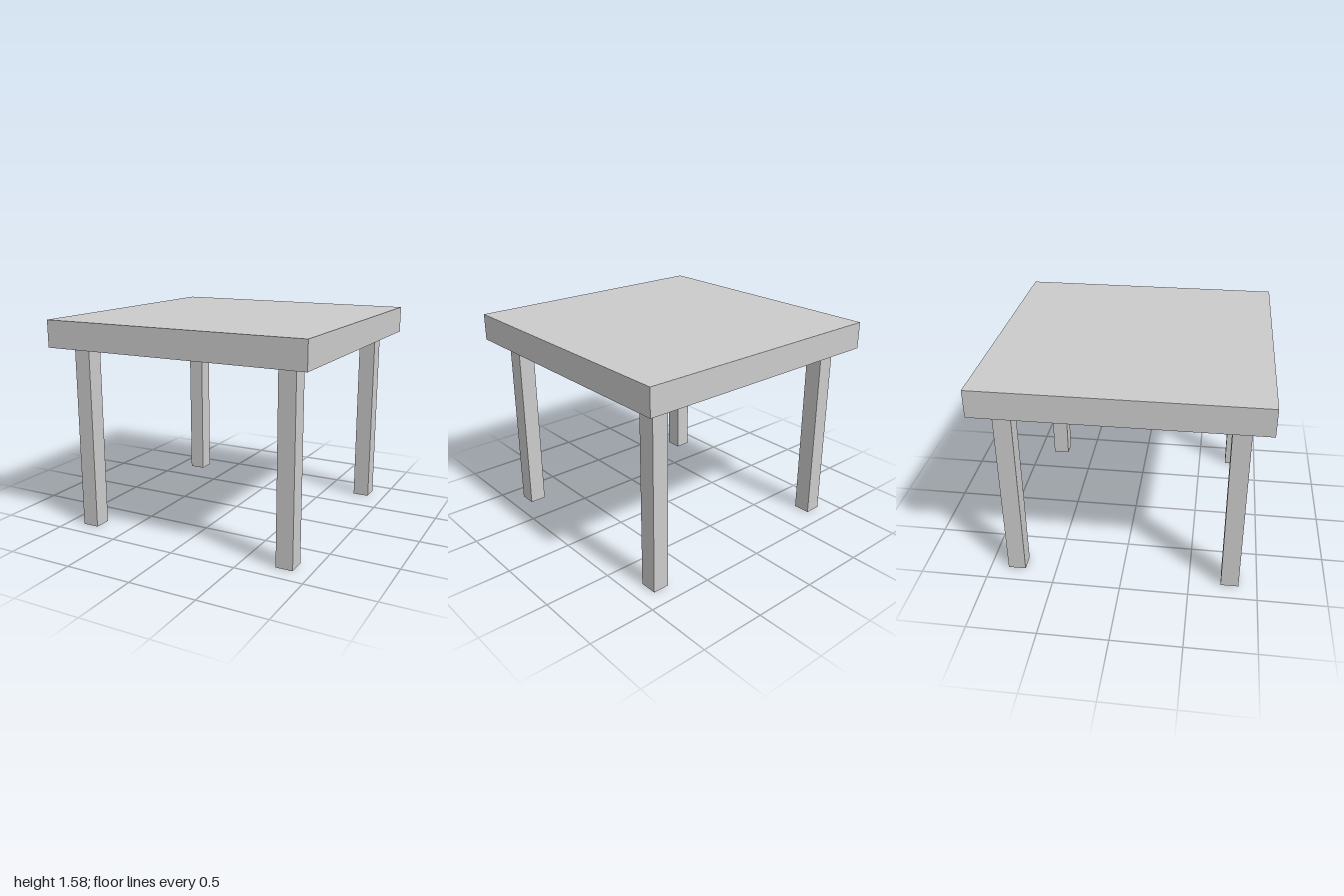
import * as THREE from 'three';

export function createModel() {
  const group = new THREE.Group();
  group.name = 'table';
  const material = new THREE.MeshStandardMaterial({ color: 0xcccccc, flatShading: true });

  const legHeight = 1.38, topThickness = 0.2;

  // Square slab top
  const top = new THREE.Mesh(new THREE.BoxGeometry(2, topThickness, 2), material);
  top.name = 'tableTop';
  top.position.y = legHeight + topThickness / 2;
  group.add(top);

  // Four square legs, set in from the corners
  const legGeometry = new THREE.BoxGeometry(0.125, legHeight, 0.13);
  for (const [zName, z] of [['front', 0.8], ['back', -0.8]]) {
    for (const [xName, x] of [['Left', 0.81], ['Right', -0.81]]) {
      const leg = new THREE.Mesh(legGeometry, material);
      leg.name = `${zName}${xName}Leg`;
      leg.position.set(x, legHeight / 2, z);
      group.add(leg);
    }
  }
  return group;
}
